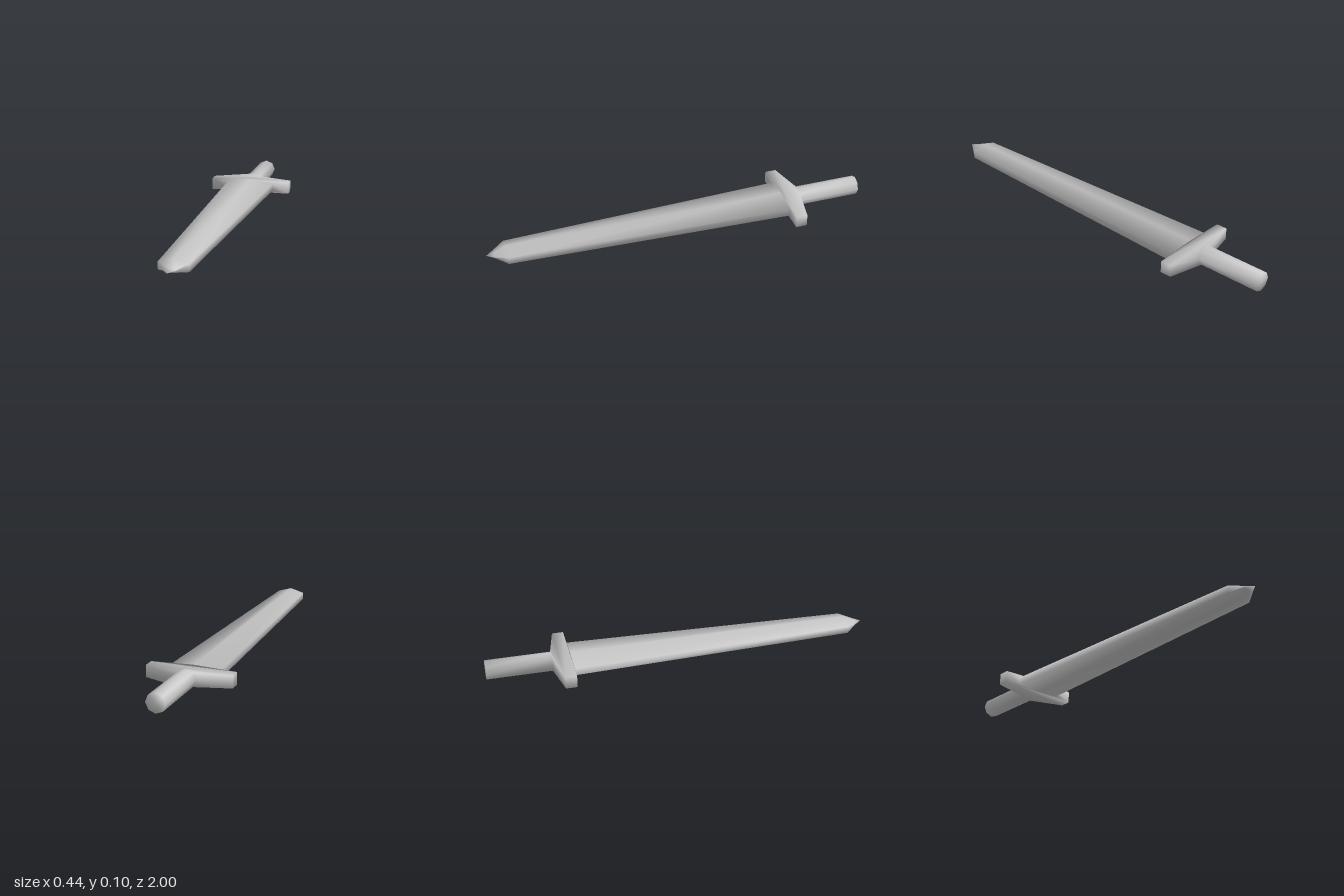
import * as THREE from 'three';

export function createModel() {
  const group = new THREE.Group();
  const steel = new THREE.MeshStandardMaterial({ color: 0xc4c4c4 });
  steel.name = 'steel grey';

  // Cross-sections share one vertex list so the shading flows from part to part.
  const points = [];
  const ring = (list, z) => list.map(([x, y]) => points.push(new THREE.Vector3(x, y, z)) - 1);

  const octagon = Array.from({ length: 8 }, (_, i) => {
    const a = (i * Math.PI) / 4;
    return [0.05 * Math.sin(a), 0.05 + 0.05 * Math.cos(a)];
  });
  const bar = [[-0.22, 0.081], [0.22, 0.081], [0.22, 0.019], [-0.22, 0.019]];
  const hexagon = (w, top, high, low, bottom) =>
    [[0, top], [w, high], [w, low], [0, bottom], [-w, low], [-w, high]];

  const endPoint = ring([[0, 0.05]], -1);
  const gripEnd = ring(octagon, -1);
  const gripRoot = ring(octagon, -0.667);
  const guardBack = ring(bar, -0.63);
  const guardFront = ring(bar, -0.572);
  const bladeRoot = ring(hexagon(0.13, 0.09, 0.069, 0.031, 0.021), -0.572);
  const bladeShoulder = ring(hexagon(0.073, 0.09, 0.069, 0.031, 0.021), 0.9);
  const bladeNeck = ring(hexagon(0.03, 0.061, 0.057, 0.049, 0.045), 0.96);
  const tip = ring([[0, 0.052]], 1);

  // Joins two rings; each step moves on along the back ring (b) or the front ring (f).
  const stitch = (back, front, steps) => {
    const out = [];
    let i = 0, j = 0;
    for (const s of steps) {
      const b = back[i % back.length], f = front[j % front.length];
      out.push(b, f, s === 'b' ? back[++i % back.length] : front[++j % front.length]);
    }
    return out;
  };

  const parts = {
    grip: [
      ...stitch(endPoint, gripEnd, 'f'.repeat(8)),
      ...stitch(gripEnd, gripRoot, 'fb'.repeat(8)),
    ],
    crossguard: [
      ...stitch(gripRoot, guardBack, 'bfbfbbbfbfbb'),
      ...stitch(guardBack, guardFront, 'fb'.repeat(4)),
      ...stitch(guardFront, bladeRoot, 'bfbffbfbff'),
    ],
    blade: [
      ...stitch(bladeRoot, bladeShoulder, 'fb'.repeat(6)),
      ...stitch(bladeShoulder, bladeNeck, 'fb'.repeat(6)),
      ...stitch(bladeNeck, tip, 'b'.repeat(6)),
    ],
  };

  // Smooth normals: every neighbouring face counts equally, whatever its size.
  const normals = points.map(() => new THREE.Vector3());
  const face = new THREE.Triangle();
  const n = new THREE.Vector3();
  for (const index of Object.values(parts)) {
    for (let k = 0; k < index.length; k += 3) {
      const corners = index.slice(k, k + 3);
      face.set(...corners.map((c) => points[c])).getNormal(n);
      corners.forEach((c) => normals[c].add(n));
    }
  }
  normals.forEach((v) => v.normalize());

  const position = new THREE.Float32BufferAttribute(points.flatMap((p) => p.toArray()), 3);
  const normal = new THREE.Float32BufferAttribute(normals.flatMap((p) => p.toArray()), 3);
  for (const [name, index] of Object.entries(parts)) {
    const geometry = new THREE.BufferGeometry();
    geometry.setAttribute('position', position);
    geometry.setAttribute('normal', normal);
    geometry.setIndex(index);
    const mesh = new THREE.Mesh(geometry, steel);
    mesh.name = name;
    group.add(mesh);
  }
  return group;
}
